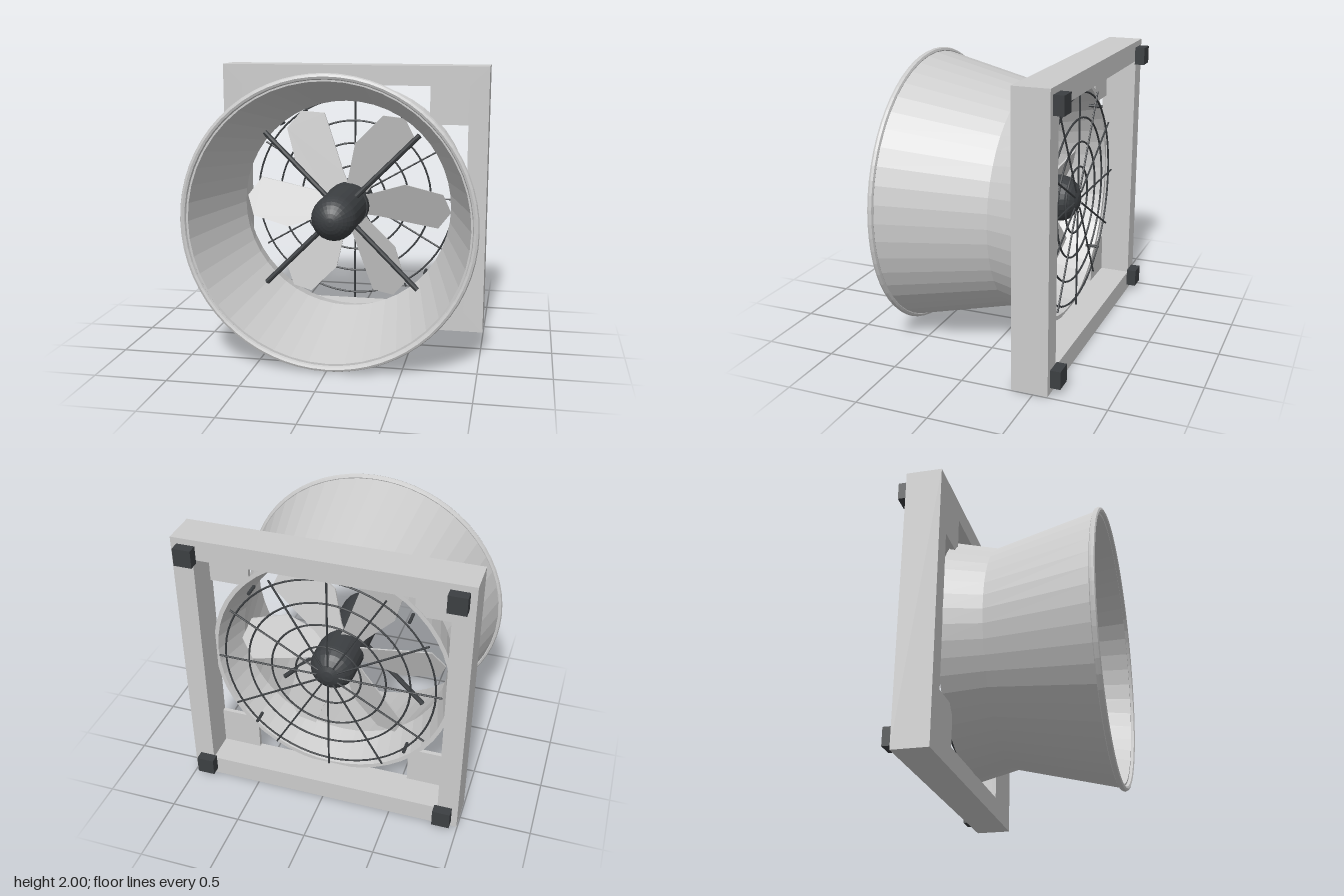
import * as THREE from 'three';

const grey = new THREE.MeshStandardMaterial({ color: 0xcccccc, flatShading: true });
const bladeGrey = new THREE.MeshStandardMaterial({ color: 0xcccccc, flatShading: true, side: THREE.DoubleSide });
const dark = new THREE.MeshStandardMaterial({ color: 0x3c3f42, flatShading: true });
const darkSmooth = new THREE.MeshStandardMaterial({ color: 0x3c3f42 });

export function createModel() {
  const group = new THREE.Group();
  const fan = new THREE.Group();
  fan.name = 'exhaustFan';
  fan.position.y = 1.0;
  group.add(fan);

  const add = (name, geometry, material, parent = fan) => {
    const mesh = new THREE.Mesh(geometry, material);
    mesh.name = name;
    parent.add(mesh);
    return mesh;
  };
  // Revolve [radius, z] points around the fan axis
  const revolve = (points, segments) =>
    new THREE.LatheGeometry(points.map(([r, z]) => new THREE.Vector2(r, z)), segments).rotateX(Math.PI / 2);
  const extrude = (shape, depth, z) =>
    new THREE.ExtrudeGeometry(shape, { depth, bevelEnabled: false, curveSegments: 10 }).translate(0, 0, z);
  const square = (Type, h) => {
    const s = new Type();
    s.moveTo(-h, -h).lineTo(h, -h).lineTo(h, h).lineTo(-h, h).closePath();
    return s;
  };
  // Round rod along the radius, between two radii at a given angle and depth
  const radialRod = (name, r0, r1, angle, z, thickness, sides) => {
    const rod = new THREE.CylinderGeometry(thickness, thickness, r1 - r0, sides)
      .rotateZ(-Math.PI / 2).translate((r0 + r1) / 2, 0, z).rotateZ(angle);
    return add(name, rod, dark);
  };

  // Square wall frame
  const frameShape = square(THREE.Shape, 0.995);
  frameShape.holes.push(square(THREE.Path, 0.85));
  add('wallFrame', extrude(frameShape, 0.25, -0.6), grey);

  // Corner plates, cut to the round duct, and mounting blocks behind them
  const R = 0.85, inner = 0.57;
  const a = Math.asin(inner / R);
  const plate = new THREE.Shape();
  plate.moveTo(R * Math.cos(a), inner);
  plate.lineTo(0.855, inner);
  plate.lineTo(0.855, 0.855);
  plate.lineTo(inner, 0.855);
  plate.lineTo(inner, R * Math.cos(a));
  plate.absarc(0, 0, R, Math.PI / 2 - a, a, true);
  for (let i = 0; i < 4; i++) {
    const corner = new THREE.Group();
    corner.name = 'corner';
    corner.rotation.z = i * Math.PI / 2;
    fan.add(corner);
    add('cornerPlate', extrude(plate, 0.03, -0.38), grey, corner);
    add('mountingBlock', new THREE.BoxGeometry(0.125, 0.125, 0.07).translate(0.89, 0.89, -0.635), dark, corner);
  }

  // Flared duct with a narrow throat and a rolled front rim
  add('duct', revolve([
    [0.865, -0.39], [0.795, -0.1], [0.975, 0.64], [0.945, 0.64],
    [0.757, -0.1], [0.835, -0.39], [0.865, -0.39],
  ], 48), grey);
  add('frontRim', new THREE.TorusGeometry(0.977, 0.021, 8, 64).translate(0, 0, 0.645), grey);

  // Motor with domed nose
  const motor = [[0, -0.04], [0.157, -0.04]];
  for (let i = 0; i <= 8; i++) {
    const t = i / 8 * Math.PI / 2;
    motor.push([0.157 * Math.cos(t), 0.36 + 0.157 * Math.sin(t)]);
  }
  add('motor', revolve(motor, 24), dark);

  // Hub with domed rear cap
  const hub = [];
  for (let i = 0; i <= 6; i++) {
    const t = i / 6 * Math.PI / 2;
    hub.push([0.163 * Math.sin(t), -0.32 - 0.145 * Math.cos(t)]);
  }
  hub.push([0.163, -0.05], [0, -0.05]);
  add('hub', revolve(hub, 24), dark);

  // Four diagonal motor struts and the pegs that hold the guard
  for (let i = 0; i < 4; i++) {
    const angle = Math.PI / 4 + i * Math.PI / 2;
    radialRod('motorStrut', 0.1, 0.775, angle, 0.12, 0.019, 8);
    add('guardPeg', new THREE.CylinderGeometry(0.012, 0.012, 0.1, 8)
      .rotateX(Math.PI / 2).translate(0.78, 0, -0.39).rotateZ(angle), dark);
  }

  // Six pitched blades
  const outline = [[0.12, 0.08], [0.12, -0.075], [0.22, -0.085], [0.5, -0.14], [0.66, -0.17],
    [0.755, -0.04], [0.7, 0.1], [0.43, 0.17], [0.18, 0.09]];
  const bladeShape = new THREE.Shape(outline.map(([x, y]) => new THREE.Vector2(x, y)));
  const blade = extrude(bladeShape, 0.014, -0.14);
  const p = blade.attributes.position;
  for (let i = 0; i < p.count; i++) p.setZ(i, p.getZ(i) + 0.4 * p.getY(i));
  blade.computeVertexNormals();
  for (let i = 0; i < 6; i++) {
    add('blade', blade, bladeGrey).rotation.z = i * Math.PI / 3;
  }

  // Rear wire guard
  for (const r of [0.235, 0.41, 0.58, 0.755]) {
    add('guardRing', new THREE.TorusGeometry(r, 0.007, 6, 64).translate(0, 0, -0.44), darkSmooth);
  }
  for (let i = 0; i < 12; i++) {
    radialRod('guardSpoke', 0.08, 0.8, i * Math.PI / 6, -0.45, 0.007, 6);
  }

  return group;
}
